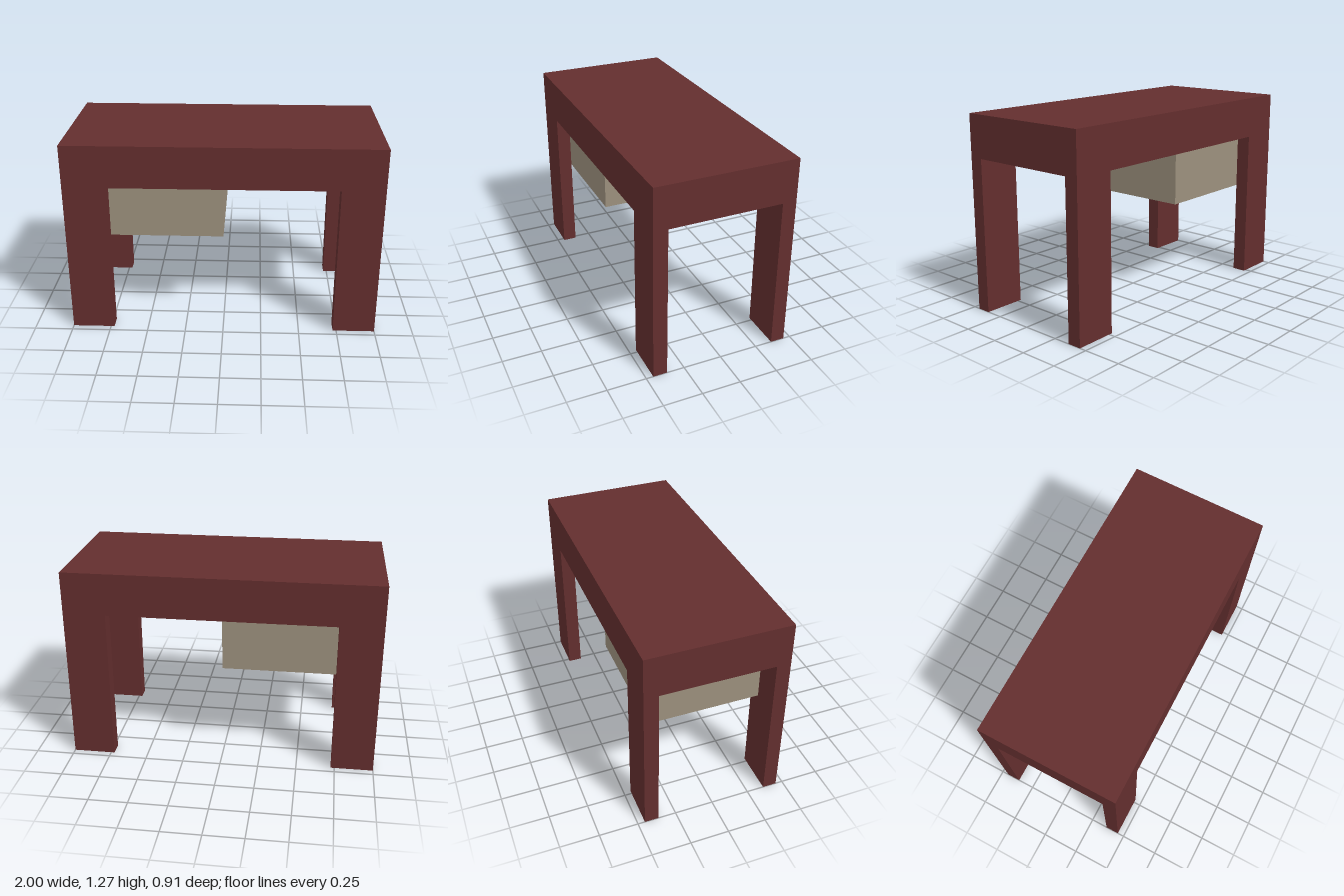
import * as THREE from 'three';

export function createModel() {
  const model = new THREE.Group();
  model.name = 'desk';

  const redWood = new THREE.MeshStandardMaterial({ color: 0x632e2e });
  redWood.name = 'dark red wood';
  const tan = new THREE.MeshStandardMaterial({ color: 0x9c907d });
  tan.name = 'tan drawer';

  // Box given by its lower and upper corners
  function box(name, material, [x0, y0, z0], [x1, y1, z1]) {
    const mesh = new THREE.Mesh(new THREE.BoxGeometry(x1 - x0, y1 - y0, z1 - z0), material);
    mesh.position.set((x0 + x1) / 2, (y0 + y1) / 2, (z0 + z1) / 2);
    mesh.name = name;
    model.add(mesh);
    return mesh;
  }

  const halfDepth = 0.4545, topBottom = 1, legWidth = 0.273, legDepth = 0.091;

  // Thick top slab
  box('tableTop', redWood, [-1, topBottom, -halfDepth], [1, 1.273, halfDepth]);

  // Four corner legs
  for (const sx of [-1, 1]) {
    for (const sz of [-1, 1]) {
      const leg = box(`${sz > 0 ? 'front' : 'back'}${sx > 0 ? 'Left' : 'Right'}Leg`, redWood,
        [-legWidth / 2, 0, -legDepth / 2], [legWidth / 2, topBottom, legDepth / 2]);
      leg.position.x = sx * (1 - legWidth / 2);
      leg.position.z = sz * (halfDepth - legDepth / 2);
    }
  }

  // Drawer box hung between the legs on one side
  box('drawer', tan, [-0.818, 0.637, -0.3635], [0, topBottom, 0.3635]);

  return model;
}
